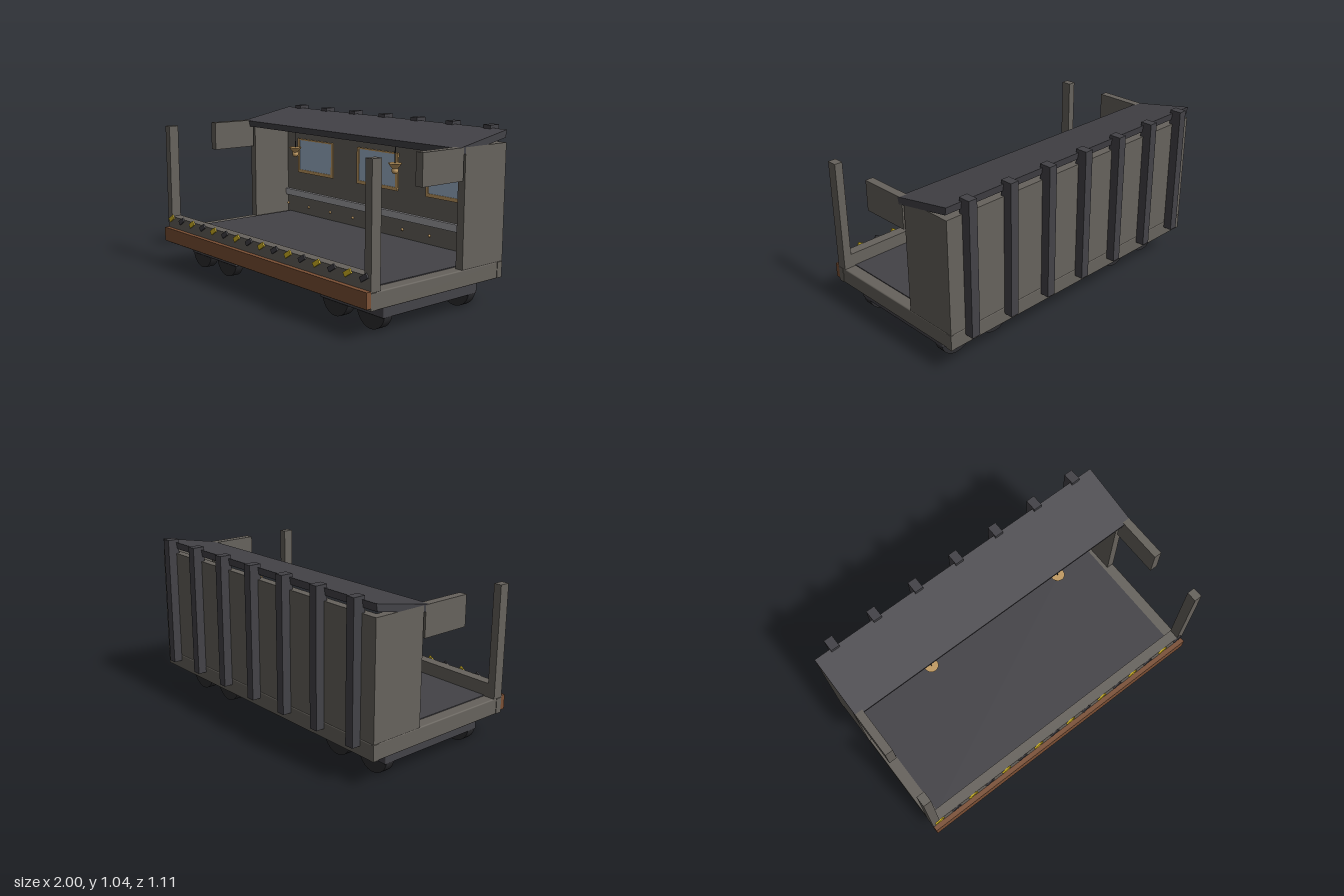
import * as THREE from 'three';
import { RoundedBoxGeometry } from 'three/addons/geometries/RoundedBoxGeometry.js';

function material(name, color) {
  const m = new THREE.MeshStandardMaterial({ color });
  m.name = name;
  return m;
}

export function createModel() {
  const model = new THREE.Group();
  model.name = 'openRailCar';

  const grey = material('wall grey', 0x66625c);
  const dark = material('dark steel', 0x434247);
  const wheelBlack = material('wheel black', 0x2c2c2f);
  const brown = material('brown timber', 0x7a4f34);
  const yellow = material('warning yellow', 0xd8ba24);
  const glass = material('window glass', 0x9db3cb);
  const gold = material('brass', 0xc09a62);
  const silver = material('pale trim', 0xa2a1a5);

  const add = (name, geometry, mat, x = 0, y = 0, z = 0, parent = model) => {
    const mesh = new THREE.Mesh(geometry, mat);
    mesh.name = name;
    mesh.position.set(x, y, z);
    parent.add(mesh);
    return mesh;
  };
  // Box given by its limits on each axis
  const box = (name, mat, x0, x1, y0, y1, z0, z1, round = 0) => {
    const s = [x1 - x0, y1 - y0, z1 - z0];
    const g = round ? new RoundedBoxGeometry(...s, 2, round) : new THREE.BoxGeometry(...s);
    return add(name, g, mat, (x0 + x1) / 2, (y0 + y1) / 2, (z0 + z1) / 2);
  };

  // Chassis, floor and front edge
  box('chassis', grey, -0.997, 0.997, 0.165, 0.265, -0.5, 0.525, 0.008);
  box('floor', dark, -0.925, 0.925, 0.262, 0.27, -0.45, 0.46);
  box('frontSill', grey, -1, 1, 0.265, 0.35, 0.46, 0.525);
  box('frontPlank', brown, -1, 1, 0.183, 0.273, 0.525, 0.555);

  // Slanted warning stripes along the front edge
  for (let i = 0; i < 16; i++) {
    const stripe = add('warningStripe', new THREE.BoxGeometry(0.06, 0.028, 0.009),
      i % 2 ? dark : yellow, -0.95 + i * 1.9 / 15, 0.337, 0.5295);
    stripe.rotation.z = 0.55;
  }

  // Walls, posts and overhead side beams
  box('backWall', grey, -0.95, 0.95, 0.265, 0.95, -0.5, -0.45);
  for (const s of [-1, 1]) {
    const a = Math.min(s, s * 0.95), b = Math.max(s, s * 0.95);
    box('sideWall', grey, a, b, 0.265, 0.95, -0.5, -0.16);
    box('sideBeam', grey, a, b, 0.767, 0.95, -0.145, 0.17);
    box('frontPost', grey, a, b, 0.265, 0.95, 0.46, 0.525);
    for (const [z0, z1] of [[-0.5, -0.46], [0.485, 0.525]]) {
      box('cornerPlate', grey, s > 0 ? 0.98 : -1, s > 0 ? 1 : -0.98, 0.168, 0.262, z0, z1);
    }
  }

  // Sloping roof, extruded from its side profile
  const profile = new THREE.Shape([[-0.5, 1.022], [-0.492, 0.978], [-0.117, 0.907], [-0.108, 0.947]]
    .map(([z, y]) => new THREE.Vector2(-z, y)));
  const roofGeometry = new THREE.ExtrudeGeometry(profile, { depth: 2, bevelEnabled: false });
  roofGeometry.translate(0, 0, -1).rotateY(Math.PI / 2);
  add('roof', roofGeometry, dark);

  // Upright ribs on the back
  for (let i = -3; i <= 3; i++) {
    box('backRib', dark, i * 0.29 - 0.0275, i * 0.29 + 0.0275, 0.225, 1.04, -0.555, -0.48);
  }

  // Inside trim rail and rivets
  box('trimRail', silver, -0.95, 0.95, 0.39, 0.435, -0.45, -0.43);
  const rivet = new THREE.SphereGeometry(0.009, 10, 8);
  for (let i = -4; i <= 4; i++) {
    for (const y of [0.325, 0.9]) add('rivet', rivet, gold, i * 0.2365, y, -0.449);
  }

  // Framed windows on the inside of the back wall
  for (const x of [-0.632, 0, 0.632]) {
    const outer = new THREE.Shape();
    outer.moveTo(-0.193, 0.567).lineTo(0.193, 0.567).lineTo(0.193, 0.81).lineTo(-0.193, 0.81);
    const hole = new THREE.Path();
    hole.moveTo(-0.173, 0.589).lineTo(-0.173, 0.8).lineTo(0.173, 0.8).lineTo(0.173, 0.589);
    outer.holes.push(hole);
    add('windowFrame', new THREE.ExtrudeGeometry(outer, { depth: 0.009, bevelEnabled: false }),
      gold, x, 0, -0.45);
    box('windowGlass', glass, x - 0.175, x + 0.175, 0.587, 0.802, -0.45, -0.446);
  }

  // Hanging lamps
  for (const x of [-0.473, 0.473]) {
    const lamp = new THREE.Group();
    lamp.name = 'hangingLamp';
    lamp.position.set(x, 0, -0.145);
    model.add(lamp);
    add('lampCord', new THREE.CylinderGeometry(0.003, 0.003, 0.12, 8), wheelBlack, 0, 0.86, 0, lamp);
    add('lampShade', new THREE.CylinderGeometry(0.042, 0.016, 0.034, 20), gold, 0, 0.789, 0, lamp);
    add('lampBulb', new THREE.SphereGeometry(0.021, 16, 12), gold, 0, 0.762, 0, lamp);
  }

  // Bogies with four wheels each
  const wheel = new THREE.CylinderGeometry(0.11, 0.11, 0.056, 32).rotateX(Math.PI / 2);
  for (const s of [-1, 1]) {
    box('bogie', dark, s * 0.682 - 0.26, s * 0.682 + 0.26, 0.085, 0.168, -0.355, 0.381, 0.006);
    for (const x of [0.54, 0.832]) {
      for (const z of [-0.316, 0.343]) add('wheel', wheel, wheelBlack, s * x, 0.11, z);
    }
  }

  return model;
}
